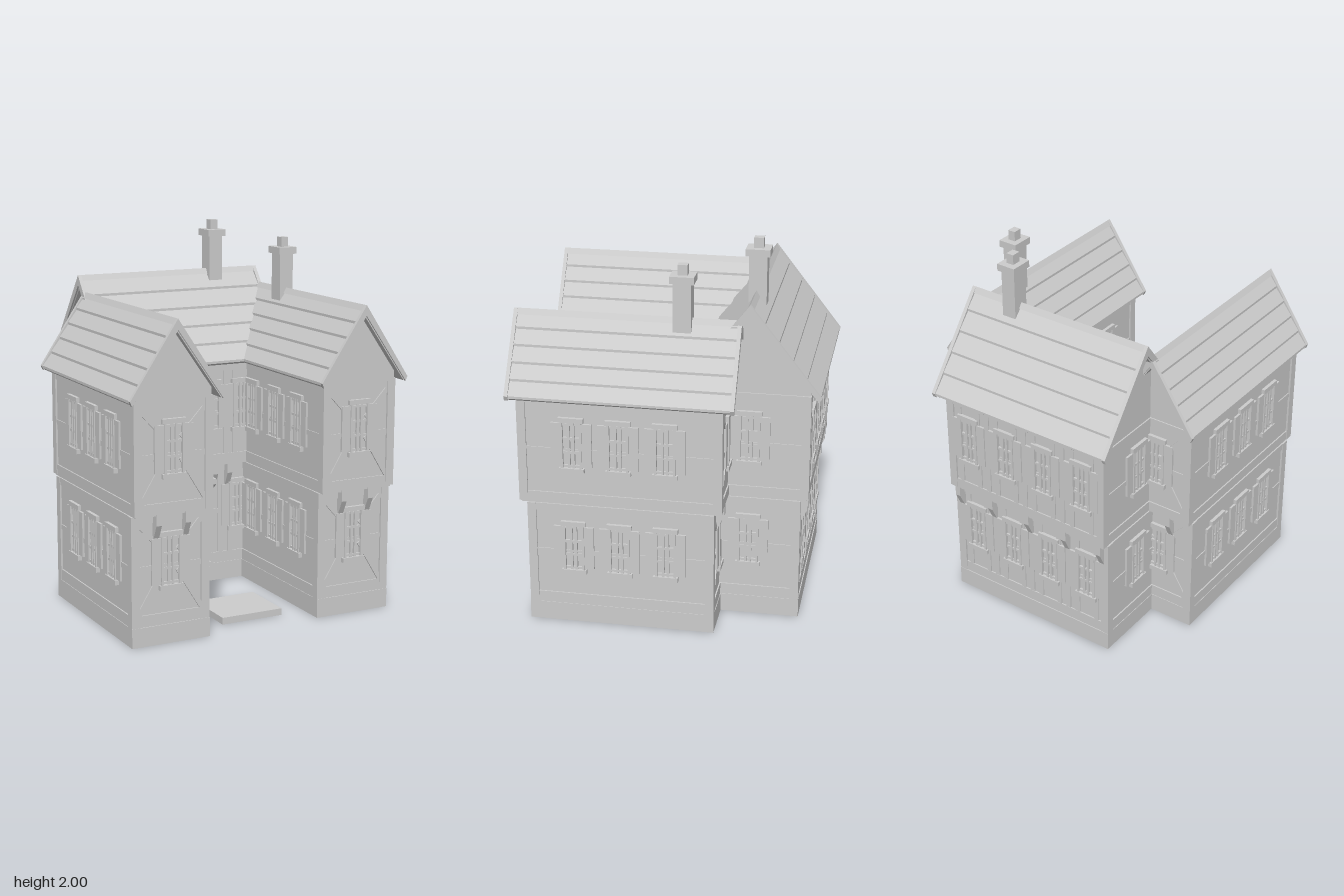
import * as THREE from 'three';

const stone = new THREE.MeshStandardMaterial({ color: 0xcccccc });
stone.name = 'paleGrey';

function add(parent, name, geometry) {
  const m = new THREE.Mesh(geometry, stone);
  m.name = name;
  parent.add(m);
  return m;
}

// Box given by its limits on each axis
function box(parent, name, x0, x1, y0, y1, z0, z1) {
  const m = add(parent, name, new THREE.BoxGeometry(x1 - x0, y1 - y0, z1 - z0));
  m.position.set((x0 + x1) / 2, (y0 + y1) / 2, (z0 + z1) / 2);
  return m;
}

// Extrude a closed outline of [x, y] points from z0 to z1
function prism(parent, name, points, z0, z1) {
  const shape = new THREE.Shape(points.map(p => new THREE.Vector2(...p)));
  const m = add(parent, name, new THREE.ExtrudeGeometry(shape, { depth: z1 - z0, bevelEnabled: false }));
  m.position.z = z0;
  return m;
}

// Wall frame of reference: x along the wall, z outwards
function wallFace(parent, name, x, z, turn) {
  const g = new THREE.Group();
  g.name = name;
  g.position.set(x, 0, z);
  g.rotation.y = turn;
  parent.add(g);
  return g;
}

// Slanted timber between two points of a wall
function brace(face, x0, y0, x1, y1) {
  const len = Math.hypot(x1 - x0, y1 - y0);
  const m = add(face, 'brace', new THREE.BoxGeometry(len, 0.026, 0.014));
  m.position.set((x0 + x1) / 2, (y0 + y1) / 2, 0);
  m.rotation.z = Math.atan2(y1 - y0, x1 - x0);
}

// Two-casement window with side panels, sill and lintel
function windowUnit(face, x, y) {
  const g = new THREE.Group();
  g.name = 'window';
  g.position.set(x, y, 0);
  face.add(g);
  box(g, 'sill', -0.065, 0.065, 0, 0.025, 0, 0.022);
  box(g, 'lintel', -0.065, 0.065, 0.273, 0.298, 0, 0.018);
  for (const s of [-1, 1]) {
    box(g, 'sidePanel', s * 0.08 - 0.025, s * 0.08 + 0.025, 0.03, 0.268, 0, 0.012);
    box(g, 'jamb', s * 0.049 - 0.006, s * 0.049 + 0.006, 0.025, 0.273, 0, 0.018);
    box(g, 'casementStile', s * 0.012 - 0.006, s * 0.012 + 0.006, 0.025, 0.273, 0, 0.014);
  }
  for (const v of [0.035, 0.11, 0.185, 0.263]) {
    box(g, 'glazingBar', -0.045, 0.045, v - 0.006, v + 0.006, 0, 0.011);
  }
}

// One storey of wall timbers: posts, rails, optional studs and braces
const LEVELS = [
  { y0: 0.1, y1: 0.67, sill: 0.16, top: 0.63, rail: 0.385, win: 0.28 },
  { y0: 0.68, y1: 1.25, sill: 0.735, top: 1.2, rail: 0.955, win: 0.855 },
];
function dressWall(face, half, L, { windows = [], studs = [], braced = false, door = false }) {
  for (const s of [-1, 1]) {
    const c = s * (half - 0.0125);
    box(face, 'post', c - 0.0225, c + 0.0225, L.y0, L.y1, -0.02, 0.01);
  }
  box(face, 'sillBeam', -half, half, L.y0, L.sill, -0.01, 0.007);
  box(face, 'topBeam', -half, half, L.top, L.y1, -0.01, 0.007);
  box(face, 'midRail', -half, half, L.rail, L.rail + 0.027, -0.01, 0.005);
  for (const u of studs) box(face, 'stud', u - 0.014, u + 0.014, L.sill, L.top, -0.01, 0.006);
  if (braced) {
    for (const s of [-1, 1]) {
      brace(face, s * (half - 0.03), L.sill, s * 0.04, L.win + 0.1);
      brace(face, s * (half - 0.03), L.top, s * 0.04, L.win + 0.2);
    }
  }
  for (const u of windows) windowUnit(face, u, L.win);
}

// Wedge brackets under an overhanging storey
function brackets(face, positions) {
  for (const u of positions) {
    const m = prism(face, 'bracket', [[0, 0.55], [0.012, 0.55], [0.045, 0.62], [0.045, 0.68], [0, 0.68]], -0.015, 0.015);
    m.rotation.y = -Math.PI / 2;
    m.position.set(u + 0.015, 0, 0);
  }
}

// Gabled roof along z: stepped courses, raised end strips and ridge
function gableRoof(parent, name, half, eave, ridge, z0, z1, wall, g0, g1) {
  const g = new THREE.Group();
  g.name = name;
  parent.add(g);
  const n = 5, lift = 0.013, thick = 0.045;
  const rise = ridge - 0.02 - eave;
  const slope = [];
  for (let i = 0; i < n; i++) {
    const a = i / n, b = (i + 1) / n;
    slope.push([half * a, eave + rise * (1 - a)]);
    slope.push([half * b, eave + rise * (1 - b) + lift]);
  }
  const right = [...slope, [half, eave], [half - 0.012, eave - 0.01], [0, ridge - thick - 0.02]];
  prism(g, 'courses', right, z0 + 0.01, z1 - 0.01);
  prism(g, 'courses', right.map(([x, y]) => [-x, y]).reverse(), z0 + 0.01, z1 - 0.01);
  const strip = [[0, ridge], [half + 0.005, eave + 0.012], [half - 0.005, eave - 0.012],
    [0, ridge - thick - 0.01], [-half + 0.005, eave - 0.012], [-half - 0.005, eave + 0.012]];
  prism(g, 'endStrip', strip, z0, z0 + 0.02);
  prism(g, 'endStrip', strip, z1 - 0.02, z1);
  prism(g, 'ridgeCap', [[0, ridge], [0.018, ridge - 0.03], [-0.018, ridge - 0.03]], z0, z1);
  prism(g, 'gable', [[-wall, 1.24], [wall, 1.24], [wall, 1.25 + (half - wall) * rise / half - 0.01],
    [0, ridge - 0.04], [-wall, 1.25 + (half - wall) * rise / half - 0.01]], g0, g1);
  return g;
}

function chimney(parent, x, z, bottom, top) {
  const g = new THREE.Group();
  g.name = 'chimney';
  g.position.set(x, 0, z);
  parent.add(g);
  box(g, 'shaft', -0.04, 0.04, bottom, top - 0.08, -0.046, 0.046);
  box(g, 'cap', -0.053, 0.053, top - 0.09, top - 0.053, -0.062, 0.062);
  box(g, 'pot', -0.021, 0.021, top - 0.06, top, -0.025, 0.025);
}

export function createModel() {
  const house = new THREE.Group();
  house.name = 'manorHouse';
  const Q = Math.PI / 2;

  // Side wings
  for (const s of [-1, 1]) {
    const wing = new THREE.Group();
    wing.name = s > 0 ? 'leftWing' : 'rightWing';
    wing.position.x = s * 0.53;
    house.add(wing);
    box(wing, 'plinth', -0.215, 0.215, 0, 0.1, -0.28, 0.692);
    [[-0.27, 0.68], [-0.31, 0.72]].forEach(([back, front], i) => {
      const L = LEVELS[i], mid = (back + front) / 2, half = (front - back) / 2;
      box(wing, 'wallBody', -0.205, 0.205, L.y0 - 0.01, L.y1, back, front);
      dressWall(wallFace(wing, 'frontWall', 0, front, 0), 0.205, L, { windows: [0], braced: true });
      dressWall(wallFace(wing, 'backWall', 0, back, 2 * Q), 0.205, L, { windows: [0], braced: true });
      for (const t of [-1, 1]) {
        const face = wallFace(wing, 'sideWall', t * 0.205, mid, t * Q);
        dressWall(face, half, L, { windows: [0.45, 0.21, -0.03].map(z => -t * (z - mid)) });
      }
    });
    brackets(wallFace(wing, 'frontBrackets', 0, 0.68, 0), [-0.08, 0.08]);
    brackets(wallFace(wing, 'backBrackets', 0, -0.27, 2 * Q), [-0.08, 0.08]);
    gableRoof(wing, 'wingRoof', 0.25, 1.25, 1.645, -0.38, 0.78, 0.205, -0.31, 0.73);
  }

  // Main range
  const main = new THREE.Group();
  main.name = 'mainRange';
  house.add(main);
  box(main, 'plinth', -0.5, 0.5, 0, 0.1, -0.692, -0.14);
  [[-0.68, -0.15], [-0.72, -0.11]].forEach(([back, front], i) => {
    const L = LEVELS[i], mid = (back + front) / 2, half = (front - back) / 2;
    box(main, 'wallBody', -0.49, 0.49, L.y0 - 0.01, L.y1, back, front);
    dressWall(wallFace(main, 'frontWall', 0, front, 0), 0.49, L, {
      windows: i ? [-0.29, -0.1, 0.1, 0.29] : [-0.29, 0.29],
      studs: i ? [-0.25, -0.195, -0.06, 0, 0.06, 0.195, 0.25] : [-0.24, -0.18, -0.12, 0.12, 0.18, 0.24],
    });
    dressWall(wallFace(main, 'backWall', 0, back, 2 * Q), 0.49, L, {
      windows: [-0.36, -0.12, 0.12, 0.36],
      studs: [-0.42, -0.3, -0.24, -0.18, -0.06, 0, 0.06, 0.18, 0.24, 0.3, 0.42],
    });
    for (const t of [-1, 1]) {
      const face = wallFace(main, 'sideWall', t * 0.49, mid, t * Q);
      dressWall(face, half, L, { windows: [-t * (-0.42 - mid)] });
    }
  });
  brackets(wallFace(main, 'frontBrackets', 0, -0.15, 0), [-0.22, -0.13, 0.13, 0.22]);
  brackets(wallFace(main, 'backBrackets', 0, -0.68, 2 * Q), [-0.46, -0.24, 0, 0.24, 0.46]);
  const mainRoof = gableRoof(main, 'mainRoof', 0.36, 1.25, 1.73, -0.545, 0.545, 0.305, -0.49, 0.49);
  mainRoof.rotation.y = Q;
  mainRoof.position.z = -0.42;

  // Doorway with moulded hood
  const door = wallFace(house, 'doorway', 0, -0.15, 0);
  box(door, 'doorStep', -0.07, 0.07, 0.06, 0.11, 0, 0.1);
  box(door, 'threshold', -0.085, 0.085, 0.09, 0.135, 0, 0.085);
  box(door, 'doorLeaf', -0.055, 0.055, 0.13, 0.51, 0, 0.03);
  for (const s of [-1, 1]) box(door, 'doorJamb', s * 0.067 - 0.013, s * 0.067 + 0.013, 0.13, 0.52, 0, 0.07);
  box(door, 'doorLintel', -0.082, 0.082, 0.505, 0.56, 0, 0.08);
  const hood = prism(door, 'doorHood', [[0, 0.555], [0.085, 0.555], [0.12, 0.585], [0.12, 0.615], [0, 0.625]], 0, 0.19);
  hood.rotation.y = -Q;
  hood.position.set(0.095, 0, 0);

  // Chimneys and courtyard paving
  chimney(house, 0.27, -0.425, 1.6, 2.0);
  chimney(house, 0.53, -0.085, 1.57, 1.92);
  box(house, 'pavingSlab', -0.175, 0.175, 0, 0.036, 0.25, 0.565);
  return house;
}
